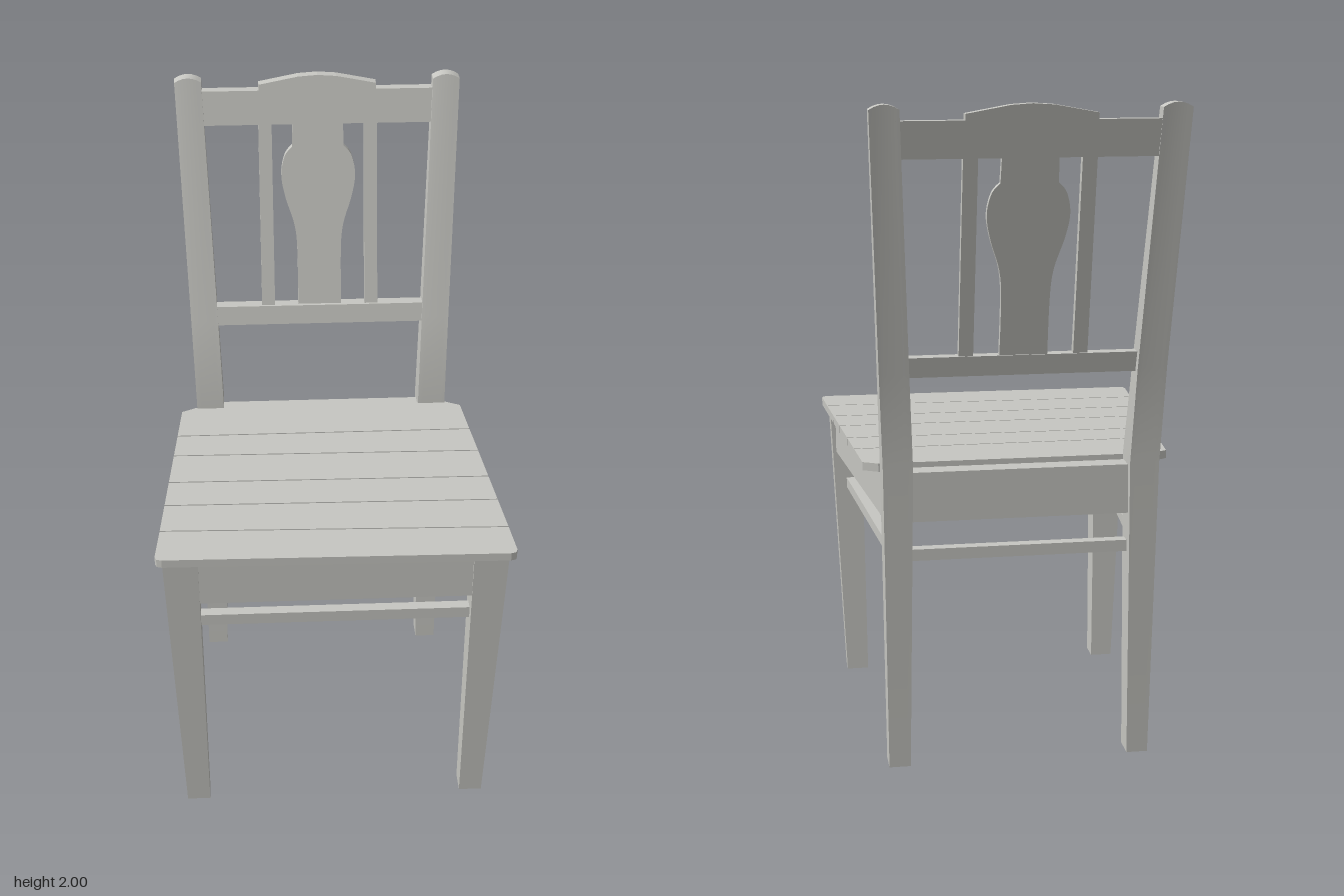
import * as THREE from 'three';

const grey = new THREE.MeshStandardMaterial({ color: 0xc6c6c1 });
grey.name = 'greyPaint';
const brown = new THREE.MeshStandardMaterial({ color: 0x74523a });
brown.name = 'bareWood';

const lerp = THREE.MathUtils.lerp;
const V = (x, y) => new THREE.Vector2(x, y);

export function createModel() {
  const chair = new THREE.Group();
  chair.name = 'chair';
  const add = (name, geometry, material = grey) => {
    const mesh = new THREE.Mesh(geometry, material);
    mesh.name = name;
    chair.add(mesh);
    return mesh;
  };

  // Leg through rows [y, xInner, xOuter, zBack, zFront], with an arched top; side is 1 or -1
  function leg(name, side, rows, arch = 0) {
    const g = new THREE.BoxGeometry(1, 1, 1, arch ? 6 : 1, rows.length - 1, 1);
    const p = g.attributes.position;
    for (let i = 0; i < p.count; i++) {
      const u = p.getX(i);
      const n = Math.round((p.getY(i) + 0.5) * (rows.length - 1));
      const [y, xi, xo, zb, zf] = rows[n];
      const drop = n === rows.length - 1 ? arch * 4 * u * u : 0;
      p.setXYZ(i, side * lerp(xi, xo, side * u + 0.5), y - drop, lerp(zb, zf, p.getZ(i) + 0.5));
    }
    g.computeVertexNormals();
    add(name, g, [grey, grey, grey, brown, grey, grey]);
  }

  // Straight bar between two plan points; its local +z side faces outwards
  function bar(name, [x0, z0], [x1, z1], y0, y1, thick, inner = grey) {
    const g = new THREE.BoxGeometry(Math.hypot(x1 - x0, z1 - z0), y1 - y0, thick);
    const m = add(name, g, [grey, grey, grey, grey, grey, inner]);
    m.position.set((x0 + x1) / 2, (y0 + y1) / 2, (z0 + z1) / 2);
    m.rotation.y = Math.atan2(z0 - z1, x1 - x0);
  }

  // Backrest piece drawn in the front plane and sheared to the lean of the posts
  function backPiece(name, points, offset, depth) {
    const g = new THREE.ExtrudeGeometry(new THREE.Shape(points), { depth, bevelEnabled: false });
    const p = g.attributes.position;
    for (let i = 0; i < p.count; i++) {
      const lean = -0.33 - 0.198 * (p.getY(i) - 0.94);
      p.setZ(i, p.getZ(i) - depth - offset + lean);
    }
    g.computeVertexNormals();
    add(name, g);
  }

  // Horizontal slab from plan points (x, z)
  function slab(name, points, y0, y1, material) {
    const shape = new THREE.Shape(points.map(([x, z]) => V(x, -z)));
    const g = new THREE.ExtrudeGeometry(shape, { depth: y1 - y0, bevelEnabled: false });
    g.rotateX(-Math.PI / 2).translate(0, y0, 0);
    add(name, g, material);
  }

  // Legs, the back pair running up into posts
  for (const side of [1, -1]) {
    const label = side > 0 ? 'Left' : 'Right';
    leg('front' + label + 'Leg', side, [
      [0, 0.395, 0.465, 0.445, 0.515],
      [0.915, 0.402, 0.505, 0.465, 0.565],
    ]);
    leg('back' + label + 'Leg', side, [
      [0, 0.335, 0.4, -0.39, -0.315],
      [0.94, 0.322, 0.41, -0.43, -0.33],
      [1.23, 0.333, 0.42, -0.46, -0.387],
      [2, 0.364, 0.448, -0.585, -0.54],
    ], 0.014);
  }

  // Aprons, bare on the inside
  bar('frontApron', [-0.43, 0.54], [0.43, 0.54], 0.775, 0.915, 0.03, brown);
  bar('leftApron', [0.477, 0.5], [0.387, -0.36], 0.775, 0.915, 0.03, brown);
  bar('backApron', [0.36, -0.37], [-0.36, -0.37], 0.775, 0.925, 0.06, brown);
  bar('rightApron', [-0.387, -0.36], [-0.477, 0.5], 0.775, 0.915, 0.03, brown);

  // Stretchers
  bar('frontStretcher', [-0.42, 0.505], [0.42, 0.505], 0.675, 0.71, 0.035);
  bar('leftStretcher', [0.44, 0.49], [0.37, -0.34], 0.65, 0.683, 0.035);
  bar('backStretcher', [0.36, -0.365], [-0.36, -0.365], 0.65, 0.685, 0.035);
  bar('rightStretcher', [-0.37, -0.34], [-0.44, 0.49], 0.65, 0.683, 0.035);

  // Seat planks, separated by slightly skewed gaps
  const edge = (z) => 0.46 + (0.067 * (z + 0.31)) / 0.88;
  const cuts = [[-0.335, -0.335], [-0.15, -0.15], [-0.025, -0.01], [0.137, 0.15],
    [0.271, 0.287], [0.414, 0.442], [0.57, 0.585]];
  const gap = 0.0025;
  for (let i = 0; i < 6; i++) {
    const first = i === 0, last = i === 5;
    const [bl, br] = cuts[i].map((z) => z + (first ? 0 : gap));
    const [fl, fr] = cuts[i + 1].map((z) => z - (last ? 0 : gap));
    const back = first
      ? [[0.46, -0.31], [0.415, br], [-0.415, bl], [-0.46, -0.31]]
      : [[edge(br), br], [-edge(bl), bl]];
    const front = last
      ? [[-0.526, fl - 0.02], [-0.521, fl - 0.005], [-0.506, fl],
        [0.506, fr], [0.521, fr - 0.005], [0.526, fr - 0.02]]
      : [[-edge(fl), fl], [edge(fr), fr]];
    slab('seatPlank' + (i + 1), [...back, ...front], 0.915, 0.94, grey);
  }
  // Bare underside inside the aprons
  slab('seatUnderside', [[0.385, -0.335], [-0.385, -0.335], [-0.47, 0.53], [0.47, 0.53]],
    0.907, 0.914, brown);

  // Top rail with raised crest
  const crest = [V(0.185, 1.955), V(0.185, 1.973), V(0.12, 1.985), V(0.06, 1.996)];
  backPiece('topRail', [V(-0.375, 1.85), V(0.375, 1.85), V(0.375, 1.955), ...crest, V(0, 2),
    ...crest.map((p) => V(-p.x, p.y)).reverse(), V(-0.375, 1.955)], 0.013, 0.035);

  // Lower back rail
  backPiece('lowerBackRail', [V(-0.345, 1.215), V(0.345, 1.215), V(0.345, 1.275),
    V(-0.345, 1.275)], 0.006, 0.04);

  // Vase-shaped splat
  const half = new THREE.SplineCurve([V(0.07, 1.26), V(0.07, 1.44), V(0.078, 1.53),
    V(0.106, 1.62), V(0.118, 1.69), V(0.106, 1.75), V(0.082, 1.78)]).getPoints(30);
  half.push(V(0.08, 1.86));
  backPiece('splat', [...half, ...half.map((p) => V(-p.x, p.y)).reverse()], 0.018, 0.022);

  // Narrow slats
  for (const [name, x] of [['leftSlat', 0.167], ['rightSlat', -0.167]]) {
    backPiece(name, [V(x - 0.021, 1.26), V(x + 0.021, 1.26), V(x + 0.021, 1.86),
      V(x - 0.021, 1.86)], 0.014, 0.026);
  }

  return chair;
}
